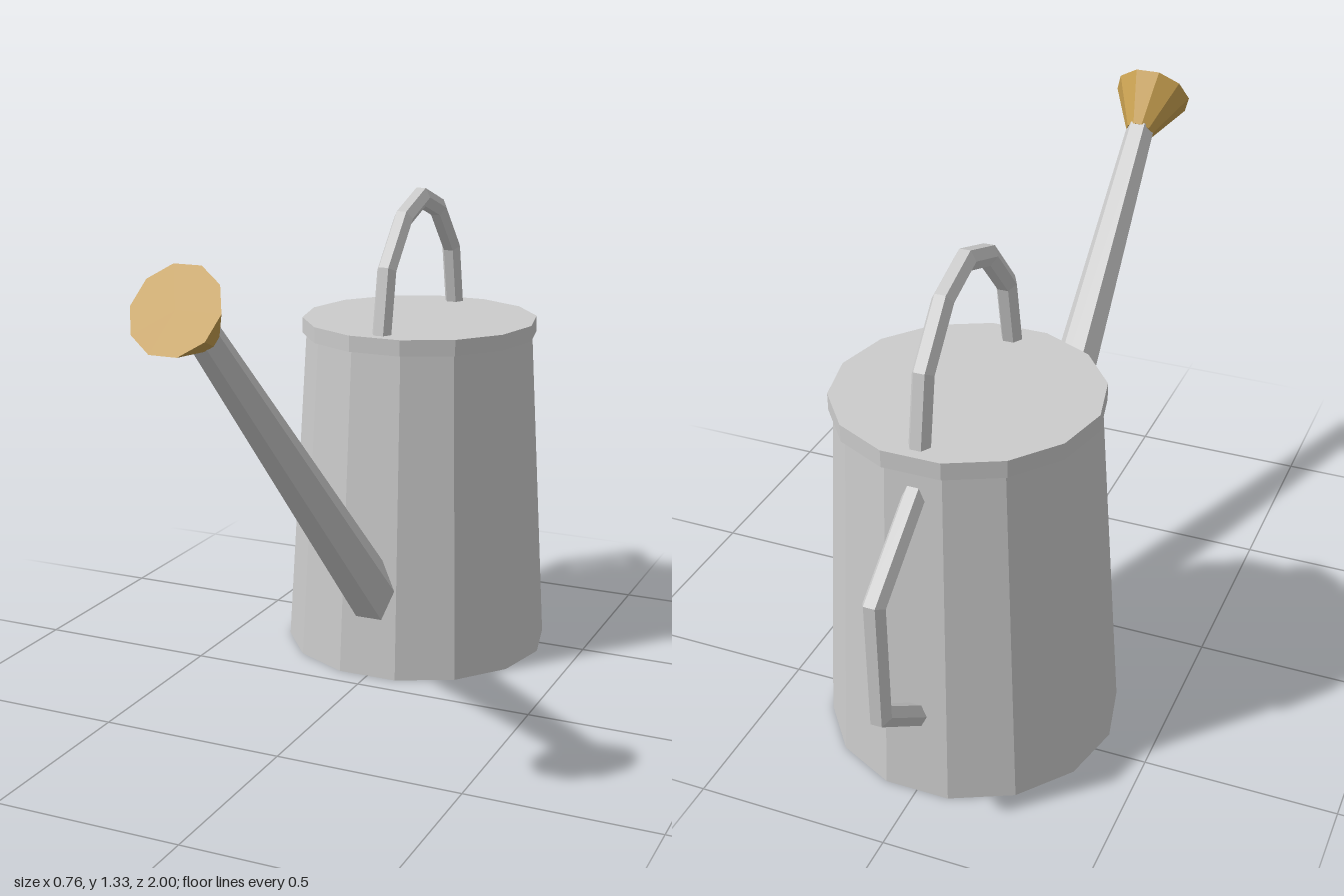
import * as THREE from 'three';

const metal = new THREE.MeshStandardMaterial({ color: 0xcccccc, flatShading: true });
const brass = new THREE.MeshStandardMaterial({ color: 0xc8a050, flatShading: true });
const BODY_Z = -0.435;

// Faceted cone between two [z, y] points in the middle plane, one corner on +x
function cone(name, from, to, r0, r1, sides, material) {
  const dz = to[0] - from[0], dy = to[1] - from[1];
  const geo = new THREE.CylinderGeometry(r1, r0, Math.hypot(dz, dy), sides);
  geo.rotateY(Math.PI / 2);
  geo.rotateX(Math.atan2(dz, dy));
  geo.translate(0, (from[1] + to[1]) / 2, (from[0] + to[0]) / 2);
  const mesh = new THREE.Mesh(geo, material);
  mesh.name = name;
  return mesh;
}

// Six-sided bar with mitred corners along a path of [z, y] points
function bar(name, path, r, material, sides = 6) {
  const pts = path.map(([z, y]) => new THREE.Vector3(0, y, z));
  const pos = [], index = [];
  const last = pts.length - 1;
  pts.forEach((p, i) => {
    const a = p.clone().sub(pts[Math.max(i - 1, 0)]).normalize();
    const b = pts[Math.min(i + 1, last)].clone().sub(p).normalize();
    const t = a.clone().add(b).normalize();
    const miter = 1 / t.dot(i < last ? b : a);
    for (let j = 0; j < sides; j++) {
      const ang = (j / sides) * Math.PI * 2;
      const s = Math.sin(ang) * r * miter;
      pos.push(Math.cos(ang) * r, p.y + t.z * s, p.z - t.y * s);
    }
  });
  for (let j = 0; j < sides; j++) {
    const k = (j + 1) % sides;
    for (let i = 0; i < last; i++) {
      const a = i * sides, b = a + sides;
      index.push(a + j, a + k, b + k, a + j, b + k, b + j);
    }
    // end caps as fans
    if (j > 0 && k > 0) {
      const e = last * sides;
      index.push(0, k, j, e, e + j, e + k);
    }
  }
  const geo = new THREE.BufferGeometry();
  geo.setAttribute('position', new THREE.Float32BufferAttribute(pos, 3));
  geo.setIndex(index);
  geo.computeVertexNormals();
  const mesh = new THREE.Mesh(geo, material);
  mesh.name = name;
  return mesh;
}

export function createModel() {
  const group = new THREE.Group();
  group.name = 'wateringCan';

  // Tapered body and the rim that closes it
  group.add(cone('body', [BODY_Z, 0], [BODY_Z, 0.945], 0.38, 0.323, 14, metal));
  group.add(cone('rim', [BODY_Z, 0.92], [BODY_Z, 0.965], 0.336, 0.336, 14, metal));

  // Spout and its flared rose
  group.add(cone('spout', [-0.18, 0.16], [0.835, 1.16], 0.079, 0.041, 6, metal));
  group.add(cone('rose', [0.826, 1.15], [0.944, 1.227], 0.04, 0.111, 10, brass));

  // Arched carrying handle, mirrored about the body's axis
  const half = [[0.283, 0.92], [0.242, 1.135], [0.127, 1.262]];
  const arch = [
    ...half.map(([d, y]) => [BODY_Z + d, y]),
    [BODY_Z, 1.306],
    ...half.slice().reverse().map(([d, y]) => [BODY_Z - d, y]),
  ];
  group.add(bar('topHandle', arch, 0.028, metal));

  // Angular pouring handle at the back
  group.add(bar('backHandle', [[-0.715, 0.875], [-0.972, 0.695], [-0.972, 0.38], [-0.75, 0.203]], 0.029, metal));

  return group;
}
